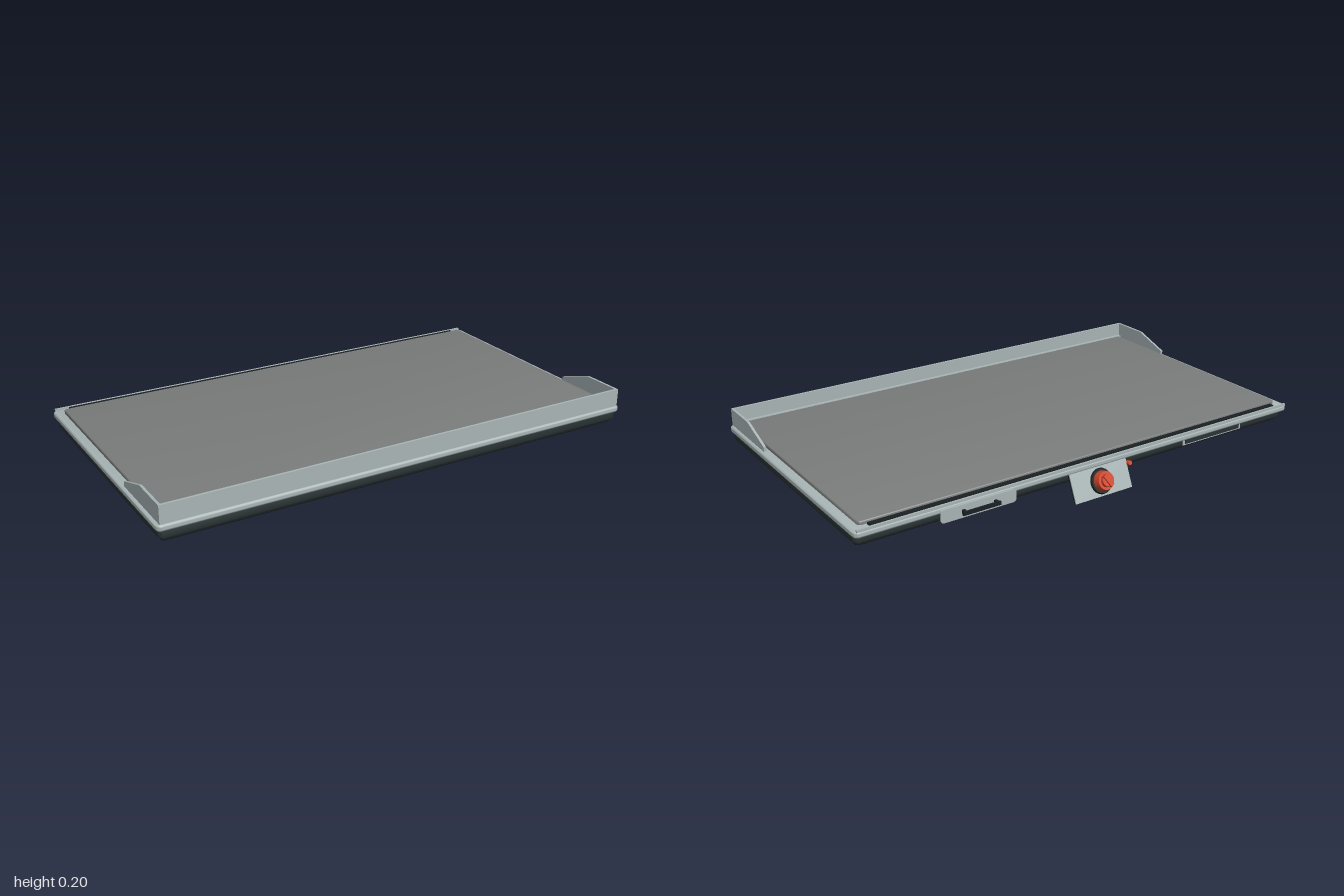
import * as THREE from 'three';
import { toCreasedNormals } from 'three/addons/utils/BufferGeometryUtils.js';

const mat = (name, color) => {
  const m = new THREE.MeshStandardMaterial({ color });
  m.name = name;
  return m;
};

export function createModel() {
  const steel = mat('brushed steel', 0xa9b5b6);
  const plateGrey = mat('griddle grey', 0x7a7d7b);
  const dark = mat('dark enamel', 0x2a3334);
  const black = mat('black', 0x1b2022);
  const red = mat('red', 0xd2472c);

  const model = new THREE.Group();
  model.name = 'tabletopGriddle';
  const add = (name, geo, material, x = 0, y = 0, z = 0, parent = model) => {
    const mesh = new THREE.Mesh(geo, material);
    mesh.name = name;
    mesh.position.set(x, y, z);
    parent.add(mesh);
    return mesh;
  };
  const box = (w, h, d) => new THREE.BoxGeometry(w, h, d);
  // Cylinder pointing along z, base at z = 0
  const disc = (r0, r1, h, n = 28) =>
    new THREE.CylinderGeometry(r1, r0, h, n).rotateX(Math.PI / 2).translate(0, 0, h / 2);

  const roundRect = (w, h, r) => {
    const s = new THREE.Shape();
    const x = w / 2, y = h / 2;
    s.absarc(x - r, y - r, r, 0, Math.PI / 2);
    s.absarc(-x + r, y - r, r, Math.PI / 2, Math.PI);
    s.absarc(-x + r, -y + r, r, Math.PI, Math.PI * 1.5);
    s.absarc(x - r, -y + r, r, Math.PI * 1.5, Math.PI * 2);
    s.closePath();
    return s;
  };
  // Horizontal slab with rounded corners and bevelled edges
  const slab = (name, material, x, z0, z1, y0, y1, r, b) => {
    const geo = new THREE.ExtrudeGeometry(roundRect(2 * (x - b), z1 - z0 - 2 * b, r), {
      depth: y1 - y0 - 2 * b, bevelSize: b, bevelThickness: b, bevelSegments: 3, curveSegments: 5,
    }).rotateX(-Math.PI / 2);
    return add(name, toCreasedNormals(geo, 0.7), material, 0, y0 + b, (z0 + z1) / 2);
  };

  // Burner body, steel rim and cooking plate
  slab('bottomPan', black, 0.98, -0.475, 0.573, 0.055, 0.075, 0.012, 0.006);
  slab('body', dark, 0.99, -0.485, 0.582, 0.066, 0.106, 0.012, 0.008);
  slab('rim', steel, 1.0, -0.51, 0.592, 0.1, 0.126, 0.012, 0.009);
  slab('cookingPlate', plateGrey, 0.965, -0.469, 0.559, 0.11, 0.14, 0.01, 0.004);

  // Grease slot along the back
  add('greaseSlot', box(1.87, 0.012, 0.02), black, 0, 0.128, -0.484);
  add('rearLip', box(1.98, 0.01, 0.008), steel, 0, 0.128, -0.504);

  // Splash guard: front wall and two sloping cheeks
  add('frontGuard', box(1.976, 0.077, 0.01), steel, 0, 0.1585, 0.58);
  add('guardLedge', box(1.95, 0.016, 0.016), steel, 0, 0.133, 0.567);
  const cheek = new THREE.Shape([
    [-0.585, 0.12], [-0.265, 0.12], [-0.265, 0.145], [-0.415, 0.196], [-0.43, 0.197], [-0.585, 0.197],
  ].map(([a, b]) => new THREE.Vector2(a, b)));
  for (const s of [-1, 1]) {
    const geo = new THREE.ExtrudeGeometry(cheek, { depth: 0.01, bevelEnabled: false })
      .translate(0, 0, -0.005).rotateY(Math.PI / 2);
    add('sideGuard', geo, steel, s * 0.983, 0, 0);
  }

  // Four feet
  for (const x of [-0.87, 0.87]) for (const z of [-0.32, 0.425]) {
    add('footPad', new THREE.CylinderGeometry(0.035, 0.033, 0.018, 24), dark, x, 0.039, z);
    add('footStem', new THREE.CylinderGeometry(0.03, 0.03, 0.014, 24), black, x, 0.053, z);
  }

  // Tilted control panel at the back, local +z points outward
  const panel = new THREE.Group();
  panel.name = 'controlPanel';
  panel.position.set(0, 0.054, -0.533);
  panel.rotation.set(0.42, Math.PI, 0);
  model.add(panel);
  add('panelFace', box(0.264, 0.112, 0.005), steel, 0, 0, 0.001, panel);
  add('panelBack', box(0.26, 0.11, 0.009), black, 0, 0, -0.006, panel);
  add('panelMount', box(0.2, 0.03, 0.03), dark, 0, 0.04, -0.022, panel);
  add('knobBezel', disc(0.05, 0.046, 0.009), black, 0, 0, 0.003, panel);
  add('knobBase', disc(0.039, 0.035, 0.026), red, 0, 0, 0.011, panel);
  add('knobCap', disc(0.025, 0.023, 0.012), red, 0, 0, 0.036, panel);
  add('knobGrip', box(0.016, 0.05, 0.02), red, 0, 0, 0.044, panel).rotation.z = 0.5;
  add('igniter', disc(0.011, 0.009, 0.02, 16), red, 0.14, 0.035, -0.005, panel);

  // Rear latch plate with its handle bar
  const latch = new THREE.Group();
  latch.name = 'rearLatch';
  latch.position.set(0.525, 0.094, -0.516);
  latch.rotation.y = Math.PI;
  model.add(latch);
  const face = new THREE.ExtrudeGeometry(roundRect(0.31, 0.05, 0.012), { depth: 0.007, bevelEnabled: false });
  add('latchPlate', face, steel, 0, 0, -0.003, latch);
  add('latchMount', box(0.26, 0.035, 0.035), dark, 0, 0, -0.018, latch);
  add('latchBar', box(0.155, 0.014, 0.008), black, 0, 0, 0.022, latch);
  for (const s of [-1, 1]) add('latchPost', box(0.012, 0.014, 0.022), black, s * 0.066, 0, 0.011, latch);

  // Framed rear plaque
  add('plaqueFrame', box(0.31, 0.032, 0.006), steel, -0.6, 0.086, -0.486);
  add('plaque', box(0.29, 0.022, 0.006), dark, -0.6, 0.086, -0.488);

  return model;
}
